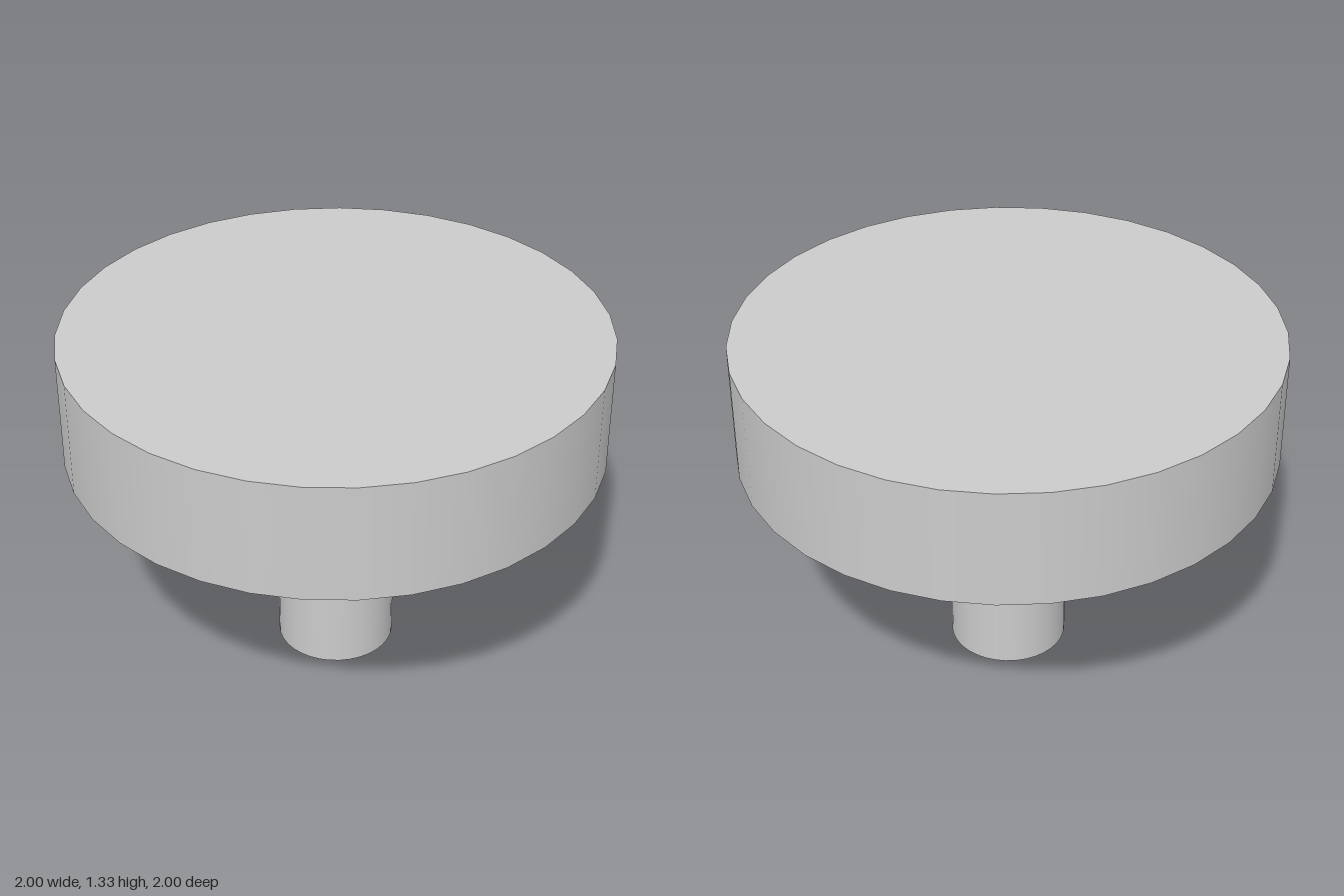
import * as THREE from 'three';

const SIDES = 35;

// Upright capped cylinder from y0 to y1, with one corner on the -x axis
function disc(name, radius, y0, y1, material) {
  const geometry = new THREE.CylinderGeometry(radius, radius, y1 - y0, SIDES, 1, false, -Math.PI / 2);
  const mesh = new THREE.Mesh(geometry, material);
  mesh.name = name;
  mesh.position.y = (y0 + y1) / 2;
  return mesh;
}

export function createModel() {
  const group = new THREE.Group();
  group.name = 'roundTopOnStem';
  const grey = new THREE.MeshStandardMaterial({ color: 0xcccccc });

  group.add(
    disc('stem', 0.222, 0, 0.889, grey), // narrow column
    disc('top', 1, 0.889, 1.333, grey), // thick round slab
  );
  return group;
}
